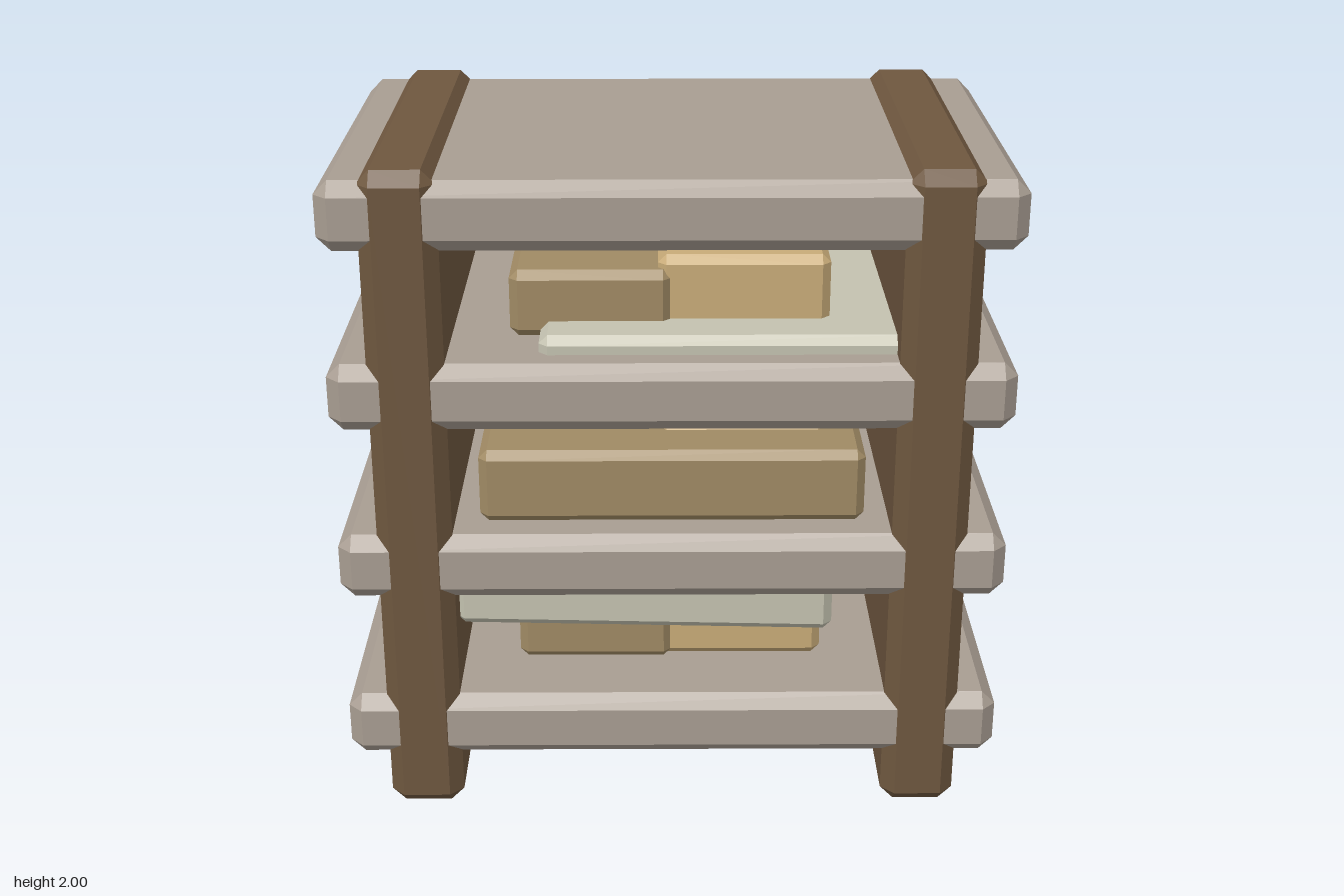
import * as THREE from 'three';
import { ConvexGeometry } from 'three/addons/geometries/ConvexGeometry.js';

const material = (color) => new THREE.MeshStandardMaterial({ color, flatShading: true });

// Box with every edge cut at 45 degrees and triangular corners
function chamferedBox(w, h, d, c) {
  const points = [];
  for (const sx of [-1, 1]) for (const sy of [-1, 1]) for (const sz of [-1, 1]) {
    const x = w / 2, y = h / 2, z = d / 2;
    points.push(
      new THREE.Vector3(sx * x, sy * (y - c), sz * (z - c)),
      new THREE.Vector3(sx * (x - c), sy * y, sz * (z - c)),
      new THREE.Vector3(sx * (x - c), sy * (y - c), sz * z));
  }
  return new ConvexGeometry(points);
}

export function createModel() {
  const model = new THREE.Group();
  model.name = 'shelfUnit';
  const board = material(0xa89d92);
  const wood = material(0x6e573f);
  const darkTan = material(0xa08a64);
  const lightTan = material(0xc8ab78);
  const paleGrey = material(0xc4c2b0);

  const add = (name, geometry, mat, x, y, z, yaw = 0) => {
    const mesh = new THREE.Mesh(geometry, mat);
    mesh.name = name;
    mesh.position.set(x, y, z);
    mesh.rotation.y = yaw;
    model.add(mesh);
  };

  // Side panels, running the full height
  const panel = chamferedBox(0.22, 2, 1.272, 0.04);
  add('leftPanel', panel, wood, 0.75, 1, 0);
  add('rightPanel', panel, wood, -0.75, 1, 0);

  // Four shelves passing through the panels
  const shelf = chamferedBox(1.95, 0.2, 1.268, 0.04);
  for (let i = 0; i < 4; i++) add('shelf', shelf, board, 0, 0.275 + i * 0.532, 0);

  // A pair of boxes on each of the lower three shelves
  const lowBox = chamferedBox(0.47, 0.2, 0.77, 0.025);
  const tallBox = chamferedBox(0.5, 0.24, 0.77, 0.025);
  for (let i = 0; i < 3; i++) {
    const floor = 0.375 + i * 0.532;
    add('lowBox', lowBox, darkTan, -0.235, floor + 0.1, 0.005);
    add('tallBox', tallBox, lightTan, 0.21, floor + 0.12, -0.015);
  }

  // One wide crate per level, set forward
  const crate = chamferedBox(1.13, 0.225, 0.83, 0.025);
  add('lowerCrate', crate, paleGrey, -0.07, 0.667, 0.11, -0.04);
  add('middleCrate', crate, darkTan, 0, 1.022, 0.115);
  add('upperCrate', crate, paleGrey, 0.185, 1.378, 0.115);

  return model;
}
